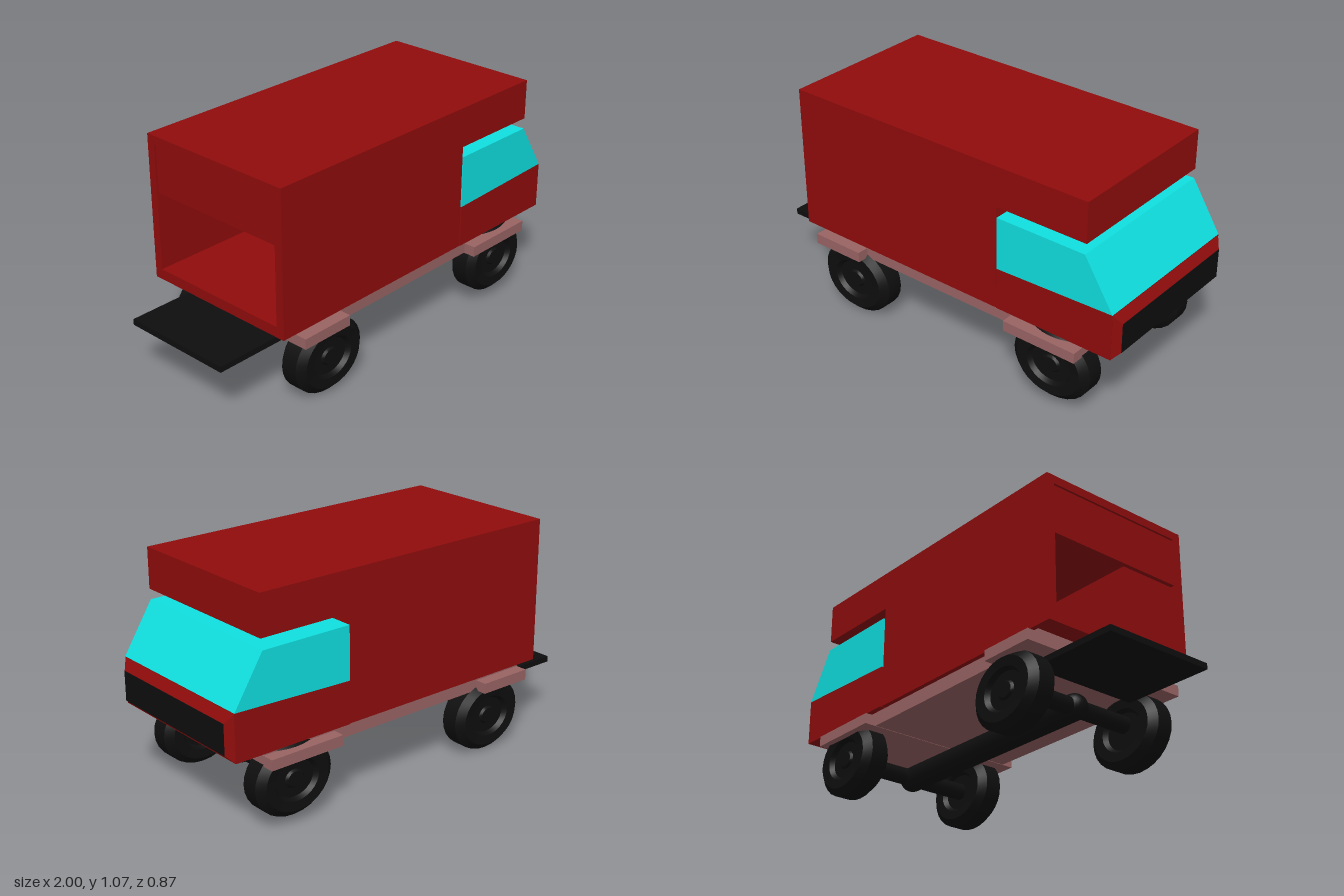
import * as THREE from 'three';
import { toCreasedNormals } from 'three/addons/utils/BufferGeometryUtils.js';

const material = (color) => new THREE.MeshStandardMaterial({ color });

export function createModel() {
  const truck = new THREE.Group();
  truck.name = 'boxTruck';
  const red = material(0x900c0c), cyan = material(0x10e0e0);
  const pink = material(0x9a6464), black = material(0x0e0e0e);

  const add = (name, geometry, mat, parent = truck) => {
    const mesh = new THREE.Mesh(geometry, mat);
    mesh.name = name;
    parent.add(mesh);
    return mesh;
  };
  // Box given by its lower and upper limits on each axis
  const block = (name, mat, [x0, x1], [y0, y1], [z0, z1]) => {
    const mesh = add(name, new THREE.BoxGeometry(x1 - x0, y1 - y0, z1 - z0), mat);
    mesh.position.set((x0 + x1) / 2, (y0 + y1) / 2, (z0 + z1) / 2);
    return mesh;
  };
  // Side outline in x and y, extruded across z
  const slab = (name, mat, points, z0, z1) => {
    const shape = new THREE.Shape(points.map(([x, y]) => new THREE.Vector2(x, y)));
    const geometry = new THREE.ExtrudeGeometry(shape, { depth: z1 - z0, bevelEnabled: false });
    return add(name, geometry.translate(0, 0, z0), mat);
  };

  // Hollow cargo body, with a shelf over the cab
  const side = [[-0.77, 0.38], [0.37, 0.38], [0.37, 0.88], [0.83, 0.88], [0.83, 1.07], [-0.77, 1.07]];
  slab('cargoSideLeft', red, side, 0.36, 0.4);
  slab('cargoSideRight', red, side, -0.4, -0.36);
  const inner = [-0.36, 0.36];
  block('cargoFloor', red, [-0.77, 0.37], [0.38, 0.43], inner);
  block('cargoRoof', red, [-0.77, 0.83], [1.03, 1.07], inner);
  block('cargoBulkhead', red, [0.33, 0.37], [0.43, 0.88], inner);
  block('overhangFloor', red, [0.33, 0.83], [0.88, 0.91], inner);
  block('overhangFront', red, [0.79, 0.83], [0.91, 1.03], inner);
  block('rollerDoor', red, [-0.76, -0.74], [0.8, 1.03], inner);

  // Cab: red lower body and wraparound glass
  slab('cabBody', red, [[0.375, 0.38], [0.97, 0.38], [0.97, 0.6], [0.375, 0.58]], -0.405, 0.402);
  slab('cabGlass', cyan, [[0.375, 0.58], [0.97, 0.6], [0.825, 0.83], [0.375, 0.83]], -0.405, 0.402);

  // Nose tapering to the grille
  const nose = new THREE.BoxGeometry(0.03, 0.22, 0.807);
  const p = nose.attributes.position;
  for (let i = 0; i < p.count; i++) {
    if (p.getX(i) > 0) p.setXYZ(i, p.getX(i), p.getY(i) > 0 ? 0.062 : -0.08, Math.sign(p.getZ(i)) * 0.368);
  }
  nose.computeVertexNormals();
  add('nose', nose, red).position.set(0.983, 0.49, -0.0015);
  block('grille', black, [0.99, 1], [0.411, 0.551], [-0.368, 0.366]);

  // Chassis, fender slabs and tail platform
  block('chassis', pink, [-0.68, 0.81], [0.312, 0.378], [-0.38, 0.38]);
  block('rearFender', pink, [-0.68, -0.41], [0.312, 0.362], [-0.437, 0.437]);
  block('frontFender', pink, [0.44, 0.815], [0.31, 0.36], [-0.437, 0.437]);
  block('tailPlatform', black, [-1, -0.55], [0.275, 0.303], [-0.29, 0.265]);

  // Drive shaft with rounded ends
  const shaft = add('driveShaft', new THREE.CapsuleGeometry(0.06, 1.14, 6, 20), black);
  shaft.rotation.z = Math.PI / 2;
  shaft.position.set(0.09, 0.205, 0);

  // Slightly flattened wheels with bevelled treads and dished rims
  const profile = [[0, -0.045], [0.1, -0.045], [0.115, -0.066], [0.165, -0.07], [0.201, -0.04],
    [0.201, 0.04], [0.165, 0.07], [0.115, 0.066], [0.1, 0.045], [0.05, 0.045], [0.04, 0.055], [0, 0.055]];
  const wheelGeometry = toCreasedNormals(
    new THREE.LatheGeometry(profile.map(([r, h]) => new THREE.Vector2(r, h)), 28).rotateX(Math.PI / 2), 0.5);
  for (const [end, x, y, axleY] of [['front', 0.66, 0.21, 0.21], ['rear', -0.483, 0.171, 0.2]]) {
    const axle = add(end + 'Axle', new THREE.CylinderGeometry(0.04, 0.04, 0.6, 16), black);
    axle.rotation.x = Math.PI / 2;
    axle.position.set(x, axleY, 0);
    for (const s of [1, -1]) {
      const wheel = add(end + (s > 0 ? 'LeftWheel' : 'RightWheel'), wheelGeometry, black);
      wheel.position.set(x, y, s * 0.338);
      wheel.rotation.y = s > 0 ? 0 : Math.PI;
      wheel.scale.y = 0.85;
    }
  }
  return truck;
}
